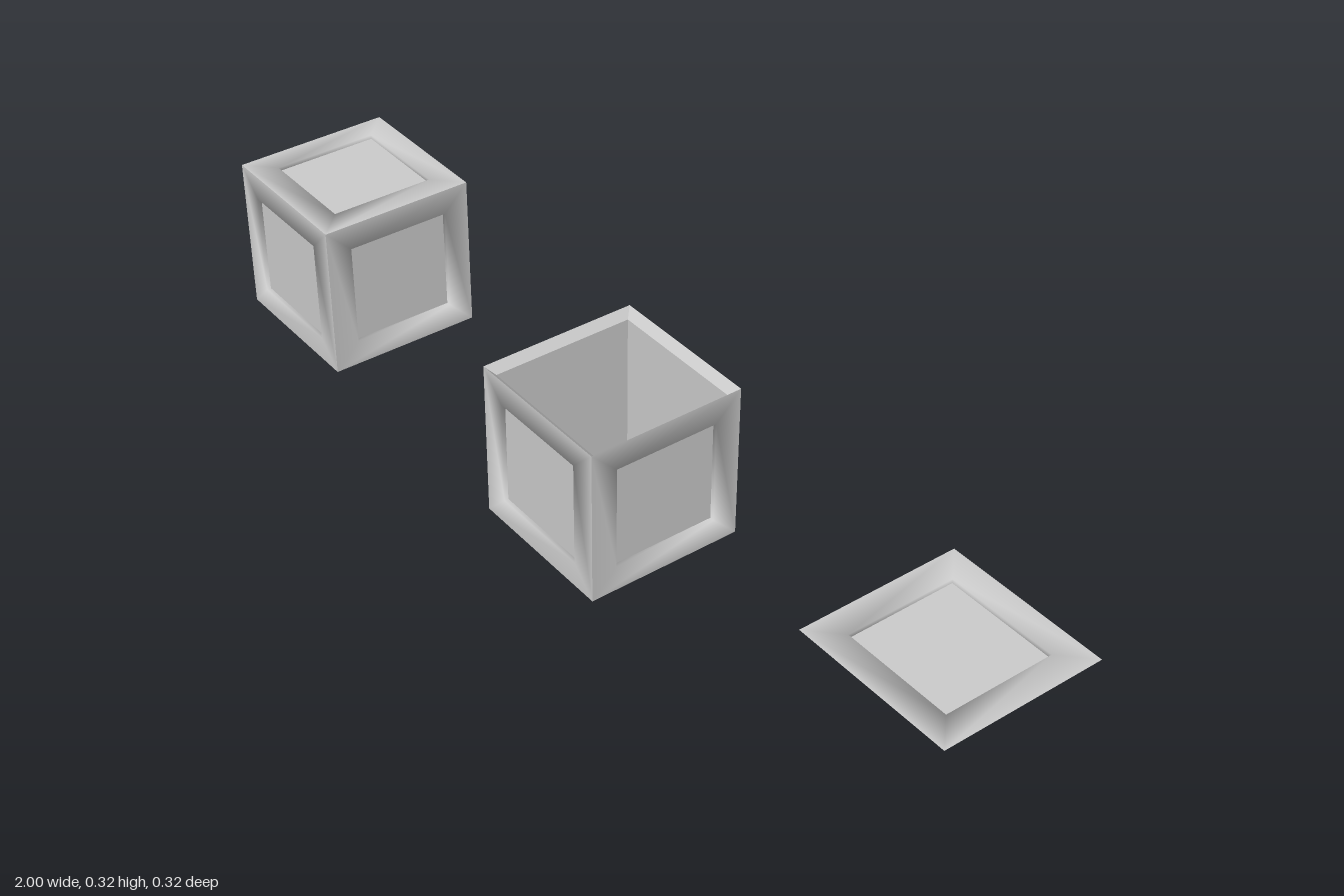
import * as THREE from 'three';

const H = 0.158;            // half the crate's edge
const P = 0.106;            // half the recessed panel's edge
const D = 0.008;            // panel recess depth
const T = 0.016;            // wall and lid thickness
const SPACING = 1 - H;

const grey = new THREE.MeshStandardMaterial({ color: 0xcccccc });
const greyDouble = new THREE.MeshStandardMaterial({ color: 0xcccccc, side: THREE.DoubleSide });

function addMesh(parent, name, geometry, material = grey) {
  const mesh = new THREE.Mesh(geometry, material);
  mesh.name = name;
  parent.add(mesh);
  return mesh;
}

// Flat border and recess walls of one side, facing +z, with a soft inner edge
function borderGeometry() {
  const corners = [[-1, -1], [1, -1], [1, 1], [-1, 1]];
  const rings = [
    { half: H, z: H, tilt: 0, nz: 1 },
    { half: P, z: H, tilt: -1, nz: 1 },
    { half: P, z: H - D, tilt: -1, nz: 0 },
  ];
  const positions = [], normals = [], index = [];
  for (const { half, z, tilt, nz } of rings) {
    for (const [x, y] of corners) {
      positions.push(x * half, y * half, z);
      normals.push(...new THREE.Vector3(x * tilt, y * tilt, nz).normalize().toArray());
    }
  }
  for (let r = 0; r < 2; r++) {
    for (let i = 0; i < 4; i++) {
      const a = r * 4 + i, b = r * 4 + (i + 1) % 4;
      index.push(a, b, b + 4, a, b + 4, a + 4);
    }
  }
  const geometry = new THREE.BufferGeometry();
  geometry.setAttribute('position', new THREE.Float32BufferAttribute(positions, 3));
  geometry.setAttribute('normal', new THREE.Float32BufferAttribute(normals, 3));
  geometry.setIndex(index);
  return geometry;
}

// One framed side, turned to its direction about the crate's centre
function addSide(parent, name, rotX, rotY) {
  const side = new THREE.Group();
  side.name = name;
  addMesh(side, 'border', borderGeometry());
  addMesh(side, 'panel', new THREE.PlaneGeometry(2 * P, 2 * P).translate(0, 0, H - D));
  side.rotation.set(rotX, rotY, 0);
  parent.add(side);
}

// Open square tube between two half-widths, with sharp corners
function squareTube(topHalf, bottomHalf, bottom, top) {
  const r = Math.SQRT2;
  const geometry = new THREE.CylinderGeometry(topHalf * r, bottomHalf * r, top - bottom, 4, 1, true)
    .rotateY(Math.PI / 4)
    .translate(0, (top + bottom) / 2, 0)
    .toNonIndexed();
  geometry.computeVertexNormals();
  return geometry;
}

function addBodySides(crate) {
  ['frontSide', 'leftSide', 'backSide', 'rightSide'].forEach((name, i) => addSide(crate, name, 0, i * Math.PI / 2));
  addSide(crate, 'underside', Math.PI / 2, 0);
}

function crateGroup(parent, name, x) {
  const crate = new THREE.Group();
  crate.name = name;
  crate.position.set(x, H, 0);
  parent.add(crate);
  return crate;
}

export function createModel() {
  const model = new THREE.Group();
  model.name = 'crateSet';

  // Closed crate
  const closed = crateGroup(model, 'closedCrate', -SPACING);
  addBodySides(closed);
  addSide(closed, 'topSide', -Math.PI / 2, 0);

  // Open crate with mitred rim and hollow inside
  const open = crateGroup(model, 'openCrate', 0);
  addBodySides(open);
  addMesh(open, 'rim', squareTube(H, H - T, H - T, H), greyDouble);
  addMesh(open, 'innerWalls', squareTube(H - T, H - T, T - H, H - T), greyDouble);
  addMesh(open, 'floor', new THREE.PlaneGeometry(2 * (H - T), 2 * (H - T))
    .rotateX(-Math.PI / 2).translate(0, T - H, 0));

  // Loose lid, held at crate height
  const lid = crateGroup(model, 'lid', SPACING);
  addSide(lid, 'lidTop', -Math.PI / 2, 0);
  addMesh(lid, 'lidBevel', squareTube(H, H - T, H - T, H));
  addMesh(lid, 'lidUnderside', new THREE.PlaneGeometry(2 * (H - T), 2 * (H - T))
    .rotateX(Math.PI / 2).translate(0, H - T, 0));

  return model;
}
